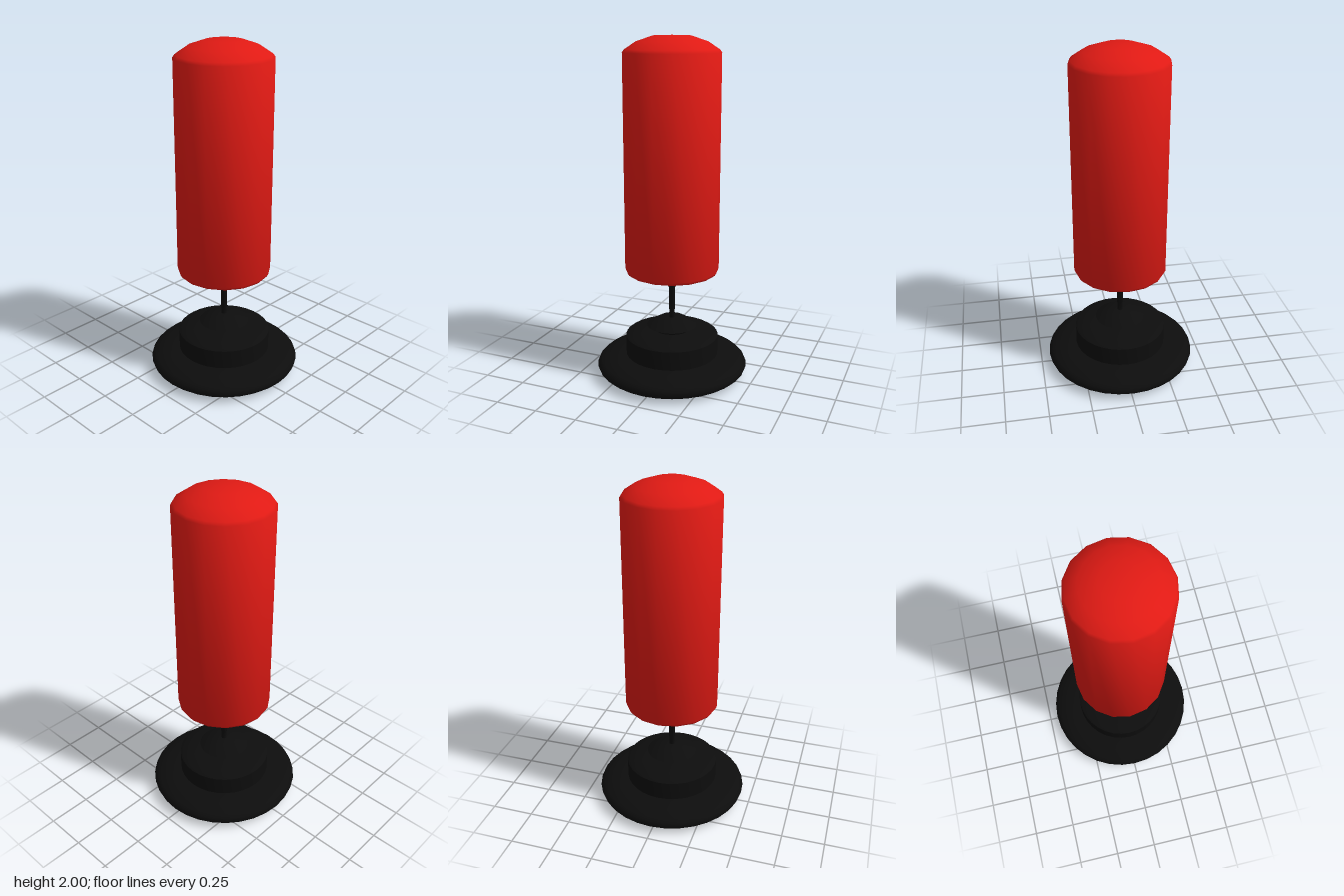
import * as THREE from 'three';
import { toCreasedNormals } from 'three/addons/utils/BufferGeometryUtils.js';

const red = new THREE.MeshStandardMaterial({ color: 0xe01a14 });
const black = new THREE.MeshStandardMaterial({ color: 0x0d0d0d });

// Turns a bottom-to-top [radius, height] profile into a named mesh.
function turned(name, material, sides, profile, crease = 0.9) {
  const points = profile.map(([r, y]) => new THREE.Vector2(r, y));
  const geometry = toCreasedNormals(new THREE.LatheGeometry(points, sides), crease);
  const mesh = new THREE.Mesh(geometry, material);
  mesh.name = name;
  return mesh;
}

export function createModel() {
  const model = new THREE.Group();
  model.name = 'punchingBagStand';

  model.add(
    // Wide rounded foot
    turned('footDisc', black, 32, [
      [0, 0], [0.25, 0.003], [0.36, 0.012], [0.425, 0.028], [0.443, 0.043], [0.45, 0.062],
      [0.443, 0.08], [0.425, 0.097], [0.36, 0.115], [0.28, 0.127], [0, 0.13],
    ]),
    // Drum on the foot with a gently sloped shoulder
    turned('baseDrum', black, 32, [
      [0, 0.11], [0.277, 0.11], [0.277, 0.24], [0.262, 0.25], [0.2, 0.265], [0.11, 0.277], [0, 0.28],
    ]),
    // Flared collar that holds the pole
    turned('poleCollar', black, 32, [
      [0, 0.27], [0.105, 0.27], [0.125, 0.29], [0.15, 0.3], [0.075, 0.345], [0, 0.347],
    ]),
    // Thin pole, stepped wider towards the bag
    turned('pole', black, 16, [
      [0, 0.33], [0.016, 0.33], [0.016, 0.395], [0.019, 0.4], [0.019, 0.535],
      [0.023, 0.545], [0.023, 0.65], [0, 0.65],
    ]),
    // Padded bag with a domed top
    turned('bag', red, 16, [
      [0, 0.635], [0.255, 0.635], [0.268, 0.641], [0.277, 0.657], [0.277, 1.905],
      [0.265, 1.922], [0.2, 1.965], [0.105, 1.997], [0, 2],
    ], 1.1),
  );
  return model;
}
